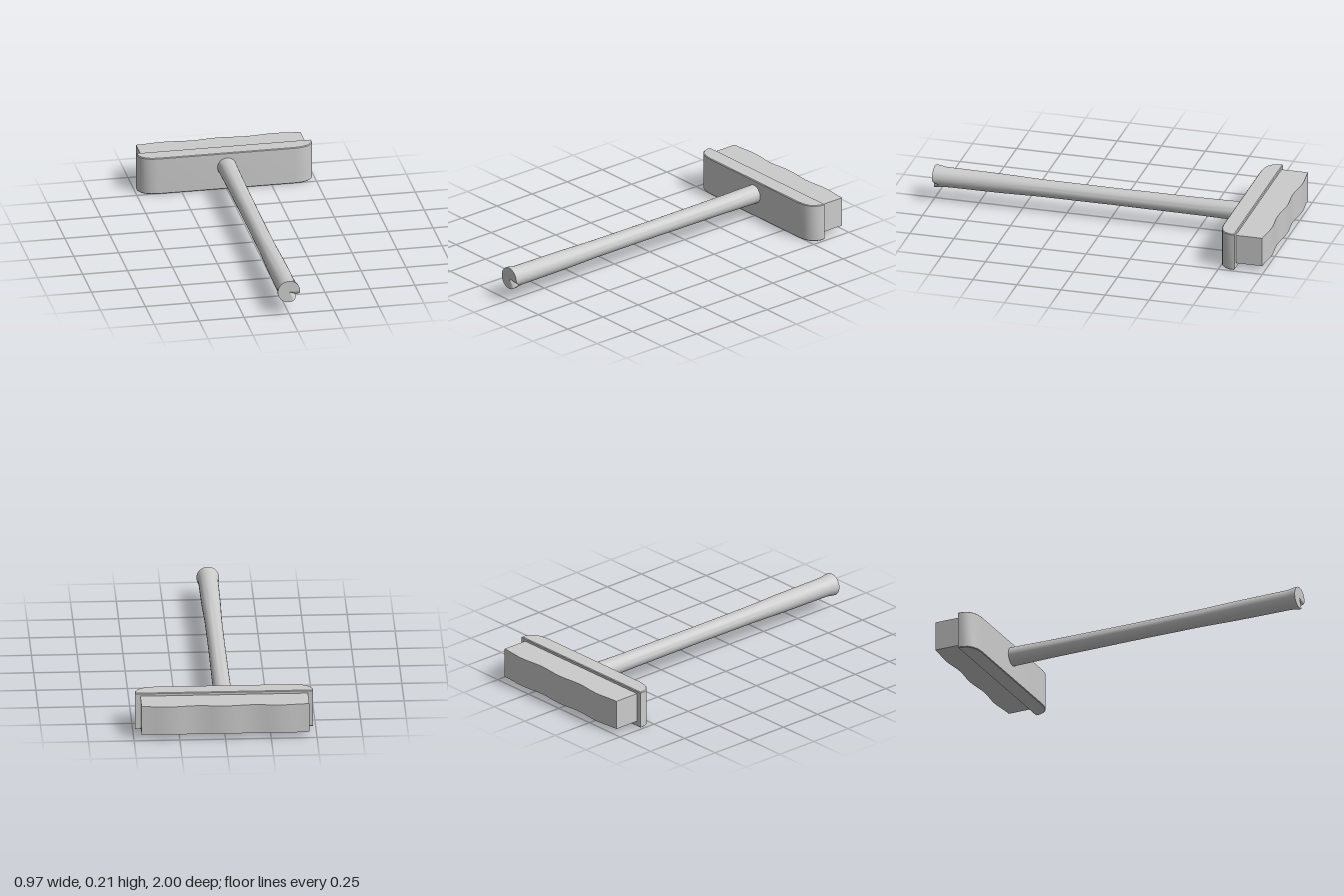
import * as THREE from 'three';
import { toCreasedNormals } from 'three/addons/utils/BufferGeometryUtils.js';

const material = new THREE.MeshStandardMaterial({ color: 0xcccccc, side: THREE.DoubleSide });

// Upright slab: the outline is drawn in x and -z, then raised from y0 to y1.
function slab(name, shape, y0, y1, bevel, crease) {
  const geometry = new THREE.ExtrudeGeometry(shape, {
    depth: y1 - y0 - 2 * bevel, curveSegments: 4, steps: 1,
    bevelEnabled: bevel > 0, bevelThickness: bevel, bevelSize: bevel, bevelOffset: -bevel, bevelSegments: 1,
  });
  geometry.rotateX(-Math.PI / 2).translate(0, y0 + bevel, 0);
  const mesh = new THREE.Mesh(toCreasedNormals(geometry, crease), material);
  mesh.name = name;
  return mesh;
}

// Head block: flat back, rounded front corners
function makeHead() {
  const s = new THREE.Shape();
  s.moveTo(-0.38, 0.743);
  s.lineTo(0.38, 0.743);
  s.quadraticCurveTo(0.47, 0.745, 0.487, 0.81);
  s.lineTo(0.487, 0.838);
  s.lineTo(-0.487, 0.838);
  s.lineTo(-0.487, 0.81);
  s.quadraticCurveTo(-0.47, 0.745, -0.38, 0.743);
  return slab('headBlock', s, 0, 0.213, 0.004, 0.6);
}

// Bristle block: wavy outer face with three crests
function makeBristles() {
  const s = new THREE.Shape();
  s.moveTo(-0.458, 0.83);
  s.lineTo(0.458, 0.83);
  const steps = 24;
  for (let i = 0; i <= steps; i++) {
    const x = 0.458 - (0.916 * i) / steps;
    s.lineTo(x, 0.994 + 0.006 * Math.cos((x / 0.305) * Math.PI * 2));
  }
  return slab('bristles', s, 0.03, 0.196, 0, 0.5);
}

// Handle: turned pole, slightly waisted, flared at the free end
function makeHandle() {
  const profile = [
    [0, -0.76], [0.053, -0.76], [0.052, -0.7], [0.049, -0.5], [0.047, 0],
    [0.048, 0.4], [0.053, 0.62], [0.055, 0.94], [0.062, 0.985], [0.062, 1], [0, 1],
  ].map(([r, z]) => new THREE.Vector2(r, z));
  const geometry = new THREE.LatheGeometry(profile, 32);
  geometry.rotateX(Math.PI / 2);
  // Small chip worn out of the rim, low on the +x side
  const p = geometry.attributes.position;
  for (let i = 0; i < p.count; i++) {
    const x = p.getX(i), y = p.getY(i), z = p.getZ(i);
    const off = Math.abs(Math.atan2(y, x) + 0.6);
    if (z > 0.98 && Math.hypot(x, y) > 0.05 && off < 0.45) {
      const k = 1 - off / 0.45;
      p.setXYZ(i, x * (1 - 0.1 * k), y * (1 - 0.1 * k), z - 0.035 * k);
    }
  }
  geometry.translate(0, 0.131, 0);
  const mesh = new THREE.Mesh(toCreasedNormals(geometry, 0.7), material);
  mesh.name = 'handle';
  return mesh;
}

export function createModel() {
  const group = new THREE.Group();
  group.name = 'broom';
  group.add(makeHead(), makeBristles(), makeHandle());
  return group;
}
